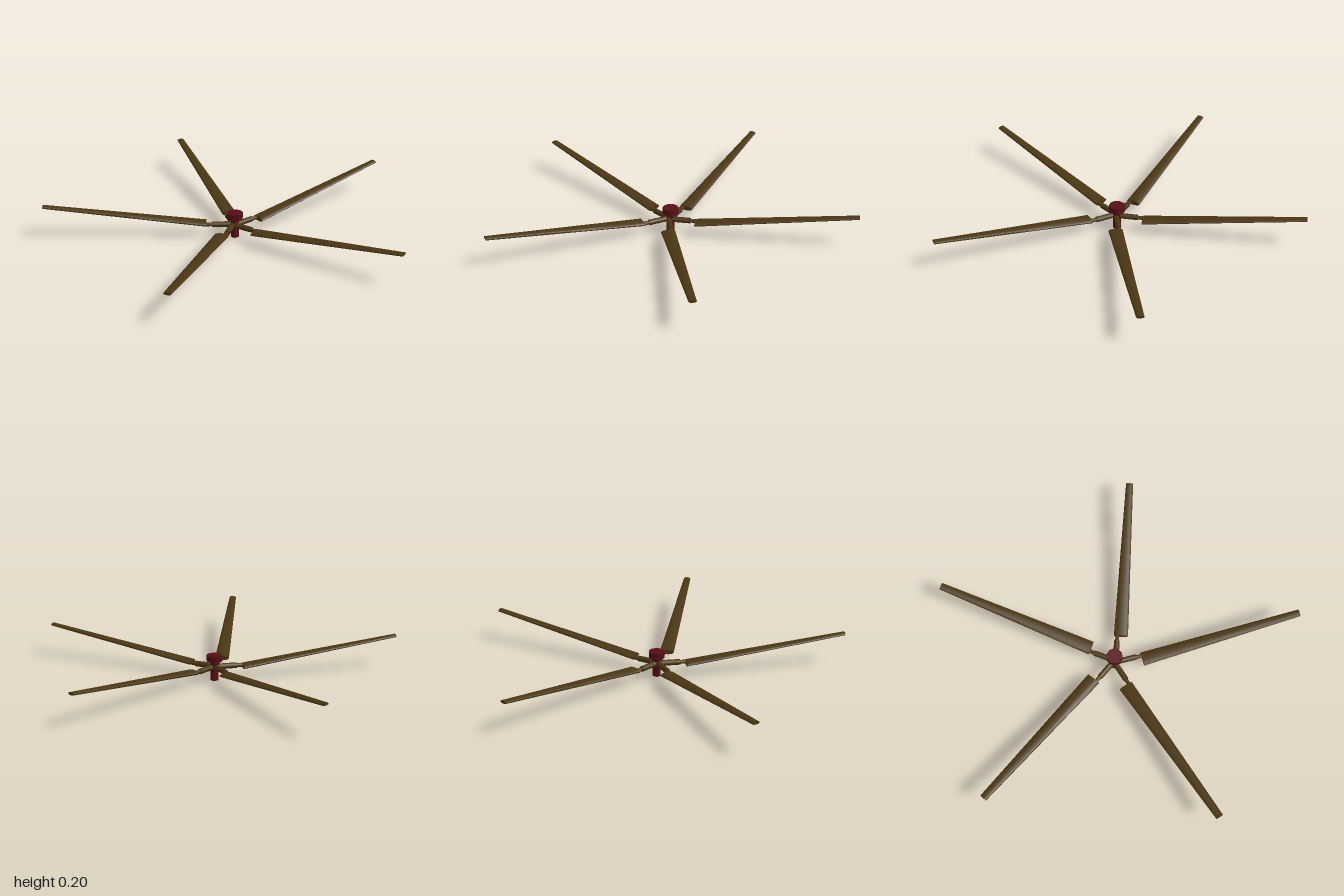
import * as THREE from 'three';
import { toCreasedNormals } from 'three/addons/utils/BufferGeometryUtils.js';

const lerp = THREE.MathUtils.lerp;

// Tapered blade running out along +x: a rounded aerofoil section, swept and raised to the tip
function bladeGeometry() {
  const section = new THREE.Shape();
  section.moveTo(0.5, 0);
  section.bezierCurveTo(0.5, 0.42, 0.2, 0.52, 0, 0.5);
  section.bezierCurveTo(-0.25, 0.48, -0.45, 0.3, -0.5, 0);
  section.bezierCurveTo(-0.45, -0.4, -0.2, -0.5, 0, -0.5);
  section.bezierCurveTo(0.25, -0.5, 0.5, -0.4, 0.5, 0);
  const geo = new THREE.ExtrudeGeometry(section, { depth: 1, bevelEnabled: false, curveSegments: 5, steps: 4 });
  const p = geo.attributes.position;
  for (let i = 0; i < p.count; i++) {
    const chord = p.getX(i), thick = p.getY(i), d = p.getZ(i);
    p.setXYZ(
      i,
      lerp(0.153, 1.055, d),
      lerp(0.076, 0.194, d) + thick * lerp(0.026, 0.016, d),
      0.026 - chord * lerp(0.08, 0.041, d)
    );
  }
  return toCreasedNormals(geo, 0.8);
}

export function createModel() {
  const model = new THREE.Group();
  model.name = 'rotor';
  const brown = new THREE.MeshStandardMaterial({ name: 'dark brown', color: 0x4a3612 });
  const red = new THREE.MeshStandardMaterial({ name: 'dark red', color: 0x560e14 });

  const add = (parent, name, geo, mat, x = 0, y = 0, z = 0) => {
    const mesh = new THREE.Mesh(geo, mat);
    mesh.name = name;
    mesh.position.set(x, y, z);
    parent.add(mesh);
    return mesh;
  };

  // Central shaft and cap
  const hub = new THREE.Group();
  hub.name = 'hub';
  hub.position.set(-0.049, 0, 0.037);
  model.add(hub);
  const side = (r, h) => toCreasedNormals(new THREE.CylinderGeometry(r, r, h, 10), 0.8);
  add(hub, 'shaft', side(0.023, 0.115), red, 0, 0.0575, 0);
  add(hub, 'cap', side(0.045, 0.033), red, 0, 0.1285, 0);

  // Five arms with their blades
  const blade = bladeGeometry();
  const neck = new THREE.CylinderGeometry(0.011, 0.011, 0.17, 10).rotateZ(Math.PI / 2);
  const sleeve = new THREE.CylinderGeometry(0.016, 0.016, 0.105, 10).rotateZ(Math.PI / 2);
  for (let i = 0; i < 5; i++) {
    const arm = new THREE.Group();
    arm.name = 'bladeArm' + (i + 1);
    arm.position.set(-0.049, 0, 0.045);
    arm.rotation.y = THREE.MathUtils.degToRad(82.5 - 72 * i);
    add(arm, 'neck', neck, brown, 0.085, 0.076, 0.006);
    add(arm, 'sleeve', sleeve, brown, 0.07, 0.076, 0.005);
    add(arm, 'blade', blade, brown);
    model.add(arm);
  }
  return model;
}
